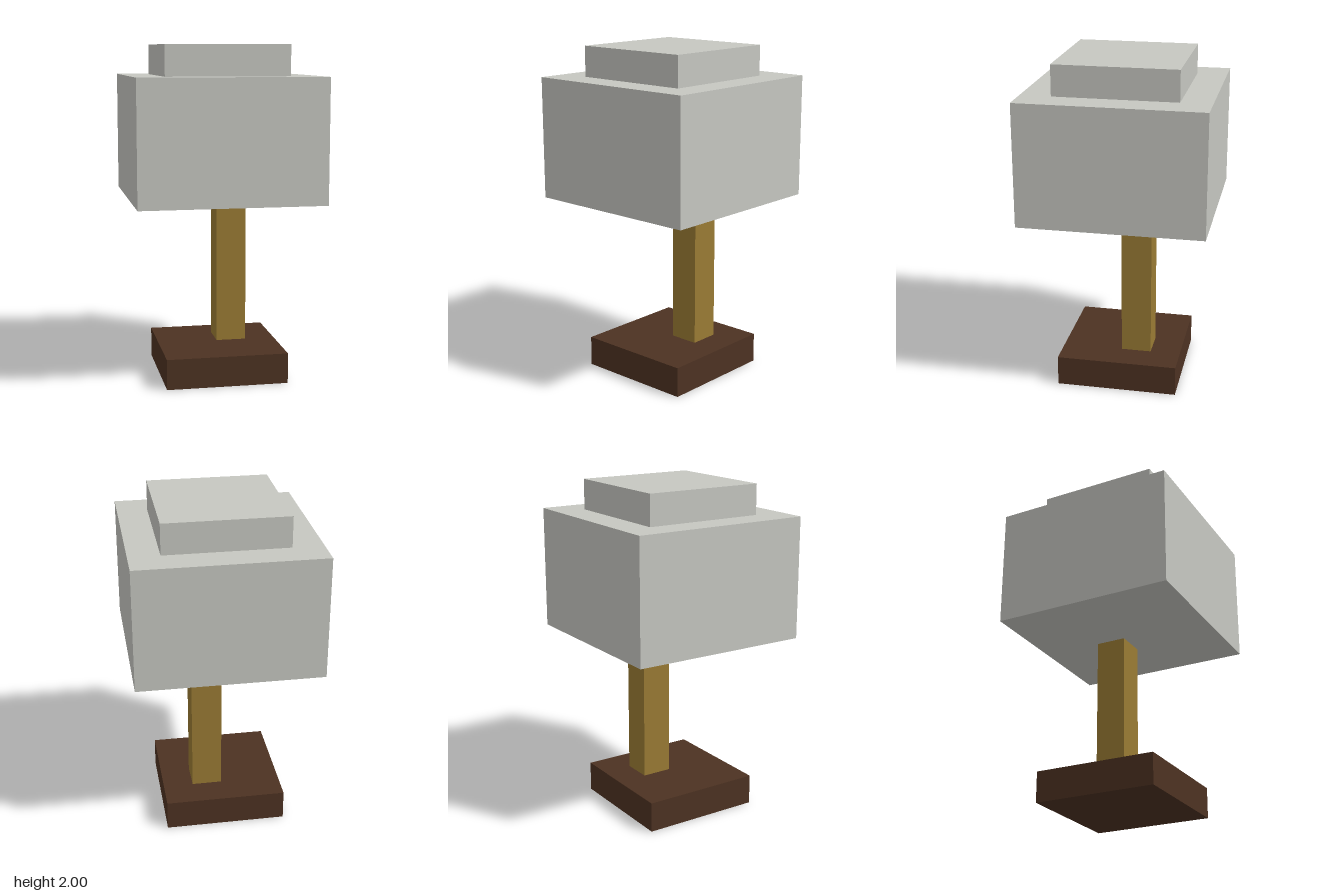
import * as THREE from 'three';

// One block of the model's grid: eleven blocks make the full height
const UNIT = 2 / 11;

function material(name, color) {
  const m = new THREE.MeshStandardMaterial({ color });
  m.name = name;
  return m;
}

export function createModel() {
  const group = new THREE.Group();
  group.name = 'tableLamp';

  const shadeGrey = material('shade grey', 0xc6c7c1);
  const postOchre = material('post ochre', 0x9a7b34);
  const baseBrown = material('base brown', 0x4d3222);

  // Box given in blocks: width, height, depth, bottom and centre offsets
  function block(name, mat, [w, h, d], bottom, x = 0, z = 0) {
    const geometry = new THREE.BoxGeometry(w * UNIT, h * UNIT, d * UNIT);
    const mesh = new THREE.Mesh(geometry, mat);
    mesh.name = name;
    mesh.position.set(x * UNIT, (bottom + h / 2) * UNIT, z * UNIT);
    group.add(mesh);
  }

  block('base', baseBrown, [4, 1, 4], 0);
  // The post stands half a block off centre, towards +x and the back
  block('post', postOchre, [1, 5, 1], 1, 0.5, -0.5);
  block('shade', shadeGrey, [6, 4, 6], 6);
  block('shadeCap', shadeGrey, [4, 1, 4], 10);

  return group;
}
